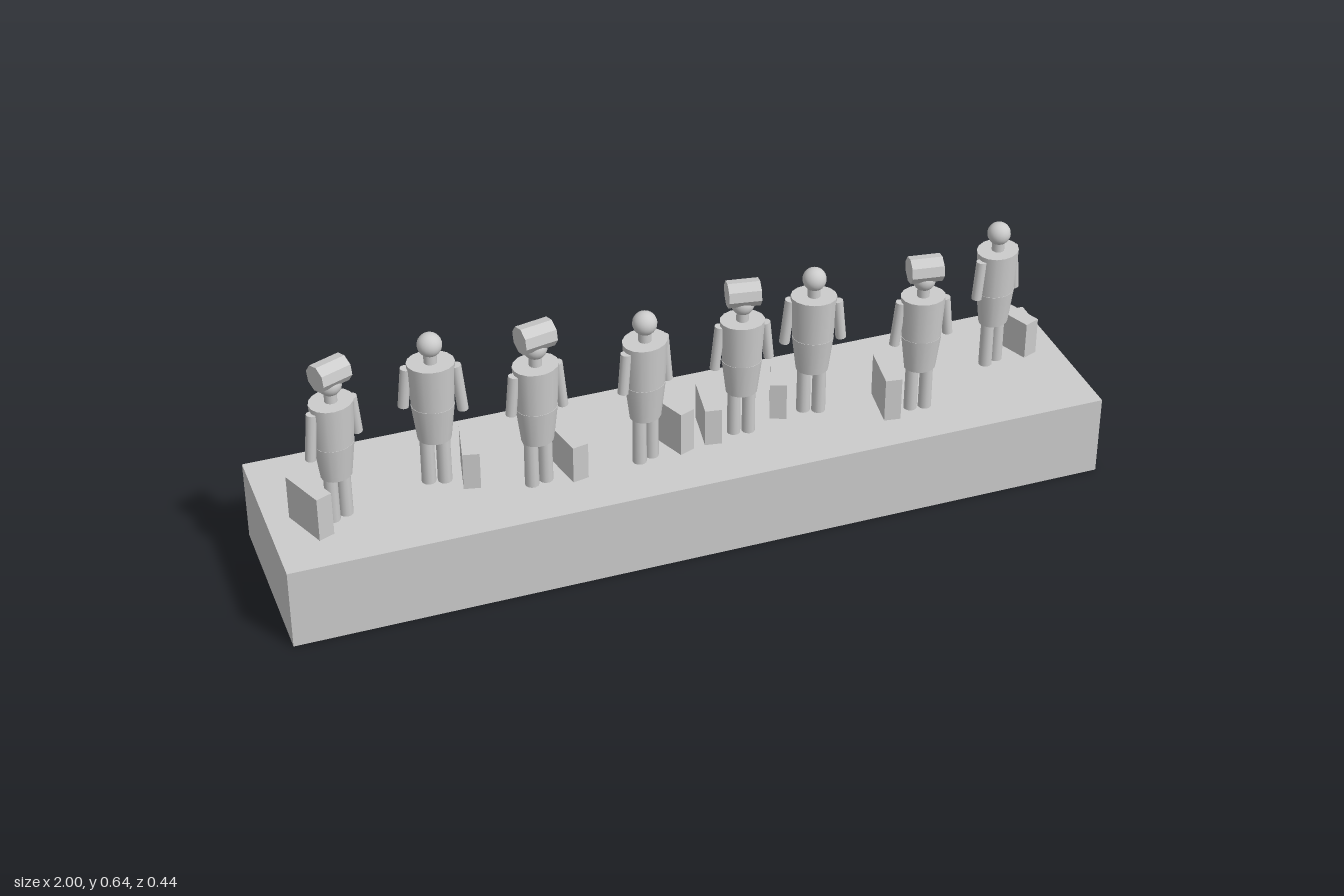
import * as THREE from 'three';

const grey = new THREE.MeshStandardMaterial({ color: 0xcccccc });
const flat = new THREE.MeshStandardMaterial({ color: 0xcccccc, flatShading: true });
const PLINTH = 0.205;

function add(parent, name, geometry, x = 0, y = 0, z = 0, material = grey) {
  const mesh = new THREE.Mesh(geometry, material);
  mesh.name = name;
  mesh.position.set(x, y, z);
  parent.add(mesh);
  return mesh;
}

const tube = (top, bottom, height, sides = 16) => new THREE.CylinderGeometry(top, bottom, height, sides);

// One standing figure, feet at y = 0; caseSide is +1 (left) or -1 (right)
function figure({ scale, hat, caseSide }) {
  const g = new THREE.Group();
  g.name = 'figure';
  const body = new THREE.Group();
  body.name = 'body';
  body.scale.setScalar(scale);
  g.add(body);

  // Coat: oval, in two sections tapering to the hem
  add(body, 'coatLower', tube(0.049, 0.038, 0.09), 0, 0.163).scale.z = 0.86;
  add(body, 'coatUpper', tube(0.054, 0.048, 0.11), 0, 0.263).scale.z = 0.86;
  add(body, 'neck', tube(0.015, 0.015, 0.03), 0, 0.325);
  add(body, 'head', new THREE.SphereGeometry(0.028, 20, 14), 0, 0.363);

  for (const side of [-1, 1]) {
    add(body, 'leg', tube(0.016, 0.0165, 0.125, 12), side * 0.018, 0.0625);
    // The arm on the case side hangs a little lower
    const length = side === caseSide ? 0.118 : 0.1;
    const arm = add(body, 'arm', tube(0.0125, 0.0125, length, 12), side * 0.06, 0.306 - length / 2);
    arm.rotation.z = side * 0.1;
  }

  // Octagonal drum lying across the head
  if (hat) {
    const drum = add(body, 'drumHat', tube(0.033, 0.033, 0.078, 8), 0, 0.394, 0.003, flat);
    drum.rotation.set(0.2, 0, Math.PI / 2);
  }
  return g;
}

export function createModel() {
  const model = new THREE.Group();
  model.name = 'figuresOnPlinth';
  add(model, 'plinth', new THREE.BoxGeometry(2, PLINTH, 0.442), 0, PLINTH / 2);

  // x, z, turn, scale, hat, side of the case, height of the case
  const people = [
    [-0.835, 0.05, 0.38, 0.995, true, -1, 0.112],
    [-0.59, -0.008, -0.22, 1.03, false, 1, 0.095],
    [-0.37, 0.077, 0.2, 1.02, true, 1, 0.095],
    [-0.108, 0.072, 0.38, 1.03, false, 1, 0.112],
    [0.14, 0.044, -0.16, 0.98, true, -1, 0.095],
    [0.328, 0.018, -0.38, 1.01, false, -1, 0.095],
    [0.573, 0.092, -0.14, 0.985, true, -1, 0.112],
    [0.82, -0.028, 0.38, 1, false, 1, 0.095],
  ];
  for (const [x, z, turn, scale, hat, caseSide, caseHeight] of people) {
    const person = figure({ scale, hat, caseSide });
    person.position.set(x, PLINTH, z);
    person.rotation.y = turn;
    // Carried case, just clear of the ground
    add(person, 'suitcase', new THREE.BoxGeometry(0.04, caseHeight, 0.118), caseSide * 0.078, 0.011 + caseHeight / 2);
    model.add(person);
  }
  return model;
}
